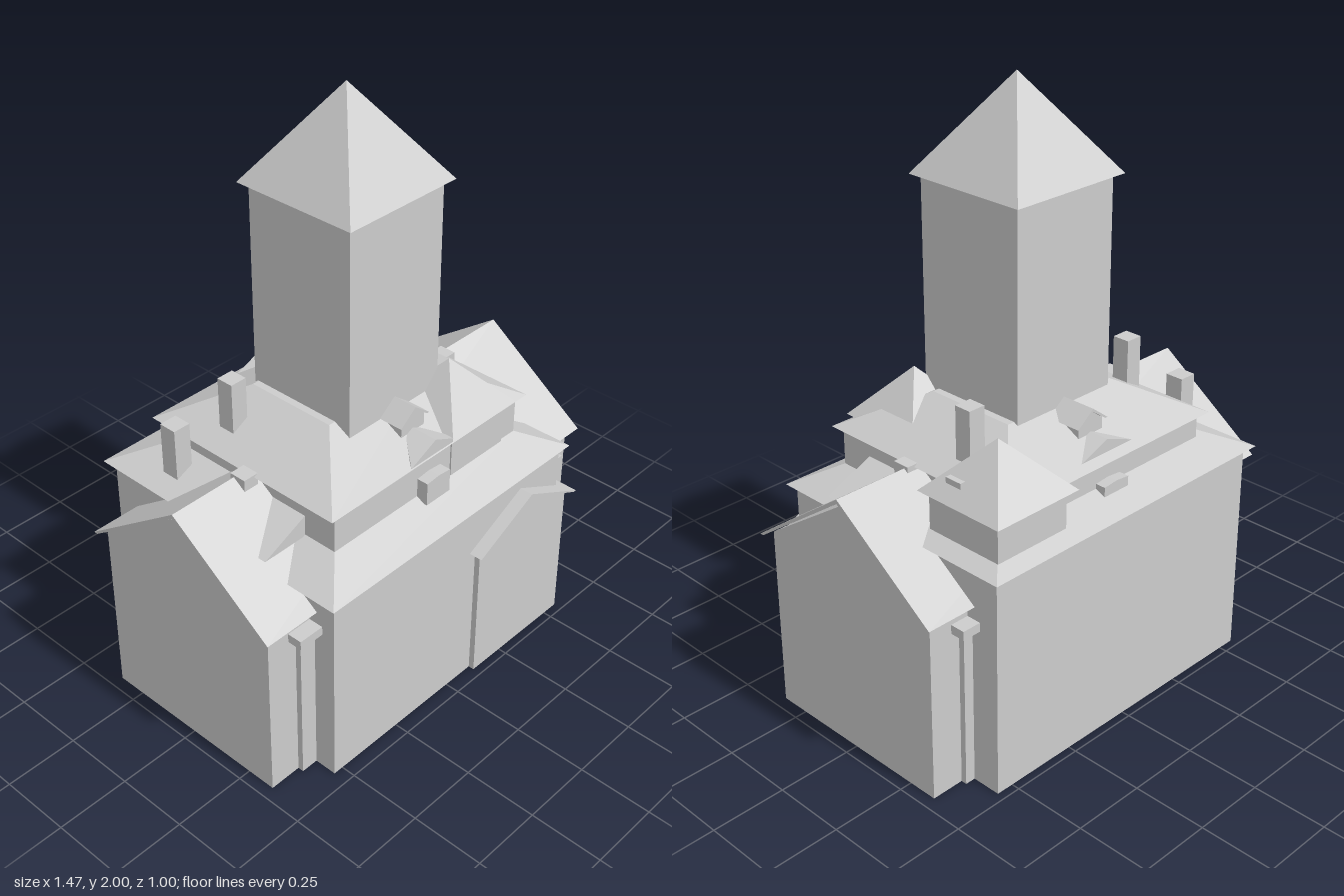
import * as THREE from 'three';
import { ConvexGeometry } from 'three/addons/geometries/ConvexGeometry.js';

export function createModel() {
  const model = new THREE.Group();
  const stone = new THREE.MeshStandardMaterial({ color: 0xcccccc });
  stone.name = 'paleGrey';

  function add(name, geometry, parent = model) {
    const mesh = new THREE.Mesh(geometry, stone);
    mesh.name = name;
    parent.add(mesh);
    return mesh;
  }
  // Box given by its limits
  function box(name, x0, x1, y0, y1, z0, z1) {
    const g = new THREE.BoxGeometry(x1 - x0, y1 - y0, z1 - z0);
    g.translate((x0 + x1) / 2, (y0 + y1) / 2, (z0 + z1) / 2);
    return add(name, g);
  }
  const rect = ([x0, x1, z0, z1], y) =>
    [[x0, z0], [x1, z0], [x1, z1], [x0, z1]].map(([x, z]) => new THREE.Vector3(x, y, z));
  // Sloping roof between two level rectangles [x0, x1, z0, z1]
  function hipRoof(name, low, y0, high, y1) {
    return add(name, new ConvexGeometry([...rect(low, y0), ...rect(high, y1)]));
  }
  function pyramid(name, x, z, half, y0, y1) {
    const base = rect([x - half, x + half, z - half, z + half], y0);
    return add(name, new ConvexGeometry([...base, new THREE.Vector3(x, y1, z)]));
  }
  // Outline in x and y, extruded from z0 to z1
  function prism(name, points, z0, z1, parent) {
    const shape = new THREE.Shape(points.map(([x, y]) => new THREE.Vector2(x, y)));
    const g = new THREE.ExtrudeGeometry(shape, { depth: z1 - z0, bevelEnabled: false });
    g.translate(0, 0, z0);
    return add(name, g, parent);
  }
  const gable = (x, half, eave, peak, base = 0) =>
    [[x - half, base], [x + half, base], [x + half, eave], [x, peak], [x - half, eave]];
  const chevron = (x, half, eave, peak, t) =>
    [[x - half, eave], [x - half + t, eave], [x, peak - t], [x + half - t, eave], [x + half, eave], [x, peak]];

  // Central tower
  box('tower', -0.2, 0.2, 0, 1.69, -0.2, 0.2);
  pyramid('towerRoof', 0, 0, 0.225, 1.69, 2);

  // Main walls
  box('frontBlock', -0.535, 0.535, 0, 0.69, 0, 0.45);
  box('backBlock', -0.56, 0.56, 0, 0.755, -0.472, 0.2);
  box('upperStorey', -0.42, 0.42, 0.6, 0.895, -0.385, 0.345);

  // Stepped hip roofs
  hipRoof('frontLowerRoof', [-0.56, 0.56, 0.1, 0.473], 0.685, [-0.42, 0.42, 0.1, 0.345], 0.755);
  hipRoof('backLowerRoof', [-0.587, 0.587, -0.5, 0.225], 0.75, [-0.42, 0.42, -0.34, 0.225], 0.825);
  hipRoof('upperRoof', [-0.45, 0.45, -0.41, 0.365], 0.89, [-0.225, 0.225, -0.185, 0.14], 1.01);

  // Gabled cross wing, running along x
  const wing = new THREE.Group();
  wing.name = 'crossWing';
  wing.rotation.y = Math.PI / 2;
  model.add(wing);
  prism('wingWalls', gable(0, 0.352, 0.625, 0.862), -0.708, 0.708, wing);
  prism('wingRoof', chevron(0, 0.382, 0.618, 0.89, 0.015), -0.737, 0.737, wing);

  // Gabled front porch
  prism('porchWalls', gable(0.338, 0.222, 0.5, 0.605), 0.3, 0.47);
  prism('porchRoof', chevron(0.338, 0.248, 0.5, 0.622, 0.012), 0.3, 0.497);

  // Corner piers with caps
  for (const sx of [-1, 1]) {
    for (const sz of [-1, 1]) {
      const span = (a, b, s) => (s > 0 ? [a, b] : [-b, -a]);
      box('pier', ...span(0.5, 0.595, sx), 0, 0.55, ...span(0.3, 0.372, sz));
      box('pierCap', ...span(0.5, 0.625, sx), 0.545, 0.575, ...span(0.3, 0.403, sz));
    }
  }

  // Small pavilions with pointed roofs
  box('backPavilion', 0.25, 0.53, 0.7, 0.91, -0.447, -0.167);
  pyramid('backPavilionRoof', 0.392, -0.31, 0.165, 0.905, 1.073);
  box('roofVent', 0.497, 0.517, 0.93, 0.965, -0.285, -0.225);
  box('frontPavilion', 0.1, 0.35, 0.75, 0.91, 0.1, 0.35);
  pyramid('frontPavilionRoof', 0.228, 0.222, 0.152, 0.905, 1.07);

  // Chimneys
  for (const x of [-0.345, 0.347]) box('tallChimney', x - 0.03, x + 0.03, 0.85, 1.105, -0.18, -0.12);
  box('sideChimney', -0.52, -0.458, 0.7, 0.96, -0.288, -0.225);
  for (const x of [-0.462, 0.448]) box('ridgeChimney', x - 0.028, x + 0.028, 0.8, 0.898, -0.015, 0.045);

  // Dormers on the front and back slopes
  for (const [side, shift] of [[1, 0], [-1, 0.035]]) {
    const dormers = new THREE.Group();
    dormers.name = side > 0 ? 'frontDormers' : 'backDormers';
    dormers.rotation.y = side > 0 ? 0 : Math.PI;
    model.add(dormers);
    prism('lowerDormer', gable(0, 0.053, 0.82, 0.825, 0.74), 0.3 + shift, 0.385 + shift, dormers);
    prism('upperDormer', gable(0, 0.052, 0.98, 1.02, 0.93), 0.15, 0.275 + shift, dormers);
    prism('upperDormerRoof', chevron(0, 0.065, 0.98, 1.03, 0.01), 0.15, 0.285 + shift, dormers);
    // Low triangular hood sinking back into the roof
    const w = side > 0 ? 0.11 : 0.13, z = 0.368 + shift * 0.3;
    add('roofHood', new ConvexGeometry([
      new THREE.Vector3(-w, 0.9, z), new THREE.Vector3(w, 0.9, z),
      new THREE.Vector3(0, 0.95, z), new THREE.Vector3(0, 0.95, z - 0.13),
      new THREE.Vector3(0, 0.9, z - 0.13),
    ]), dormers);
  }

  return model;
}
